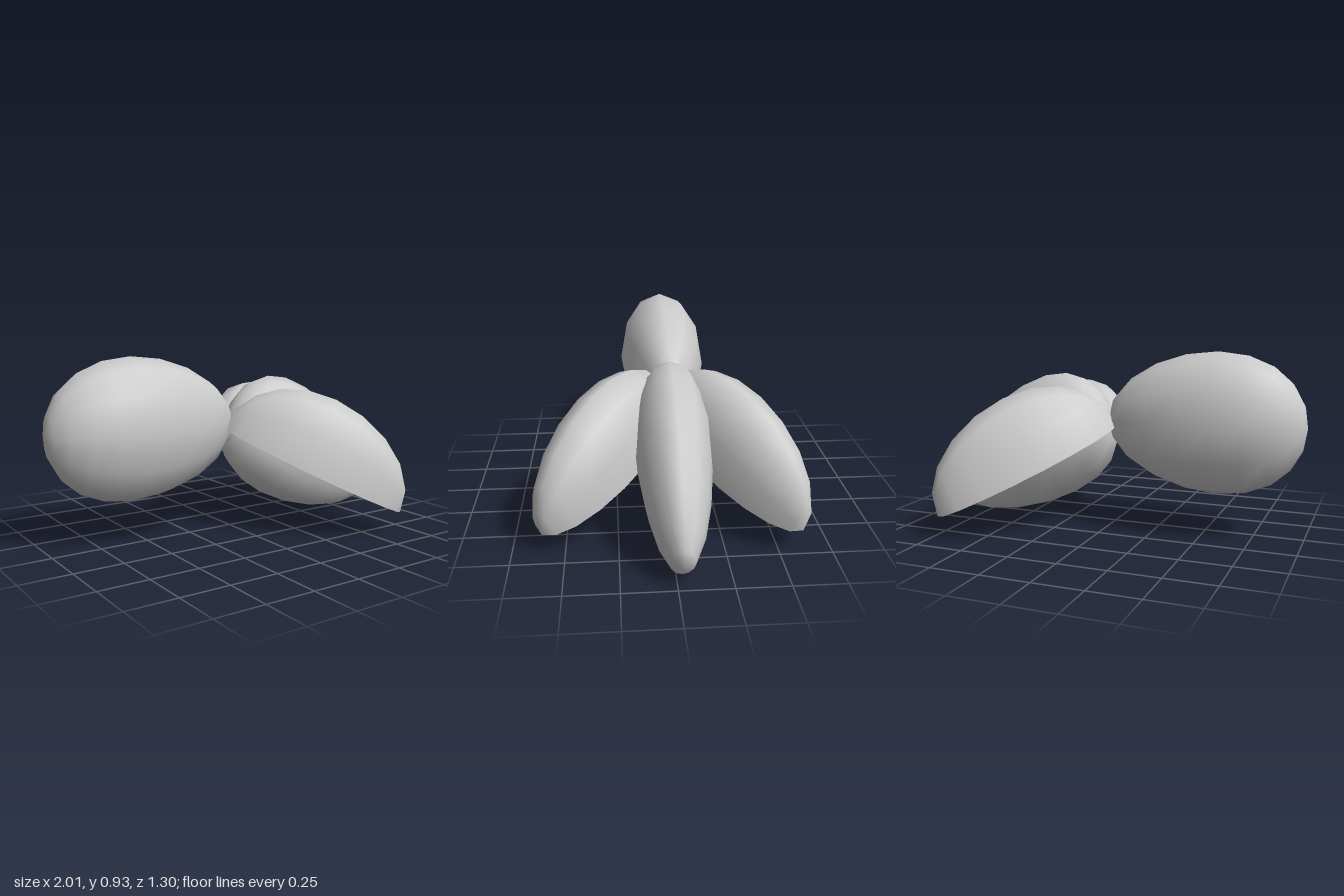
import * as THREE from 'three';
import { mergeVertices } from 'three/addons/utils/BufferGeometryUtils.js';

const material = new THREE.MeshStandardMaterial({ color: 0xcccccc });

// Scale a unit shape (y = long axis) into an egg whose widest ring is pushed by skew.
function toEgg(geometry, width, length, height, skew) {
  geometry.deleteAttribute('normal');
  geometry.deleteAttribute('uv');
  const g = mergeVertices(geometry);
  const p = g.attributes.position;
  for (let i = 0; i < p.count; i++) {
    const y = p.getY(i);
    p.setXYZ(i, p.getX(i) * width, (y + skew * (1 - y * y)) * length, p.getZ(i) * height);
  }
  g.computeVertexNormals();
  return g;
}

// One lobe running from its base to its tip; a half lobe is cut flat underneath.
function lobe({ name, base, tip, width, height, skew, roll = 0, half = false }) {
  const a = new THREE.Vector3(...base);
  const b = new THREE.Vector3(...tip);
  const axis = b.clone().sub(a);
  const length = axis.length() / 2;
  axis.normalize();
  const up = new THREE.Vector3(0, 1, 0).projectOnPlane(axis).normalize().applyAxisAngle(axis, roll);
  const side = axis.clone().cross(up);

  const group = new THREE.Group();
  group.name = name;
  const shell = new THREE.SphereGeometry(1, half ? 6 : 12, 10, 0, half ? Math.PI : Math.PI * 2);
  const body = new THREE.Mesh(toEgg(shell, width, length, height, skew), material);
  body.name = name + 'Body';
  group.add(body);
  if (half) {
    const disc = new THREE.CircleGeometry(1, 20).rotateY(Math.PI);
    const cap = new THREE.Mesh(toEgg(disc, width, length, height, skew), material);
    cap.name = name + 'FlatUnderside';
    group.add(cap);
  }
  group.quaternion.setFromRotationMatrix(new THREE.Matrix4().makeBasis(side, axis, up));
  group.position.copy(a).add(b).multiplyScalar(0.5);
  return group;
}

export function createModel() {
  const model = new THREE.Group();
  model.name = 'lobedCluster';
  model.add(
    // Large level lobe on the right
    lobe({ name: 'largeLobe', base: [0.02, 0.55, -0.035], tip: [-1, 0.55, -0.035],
      width: 0.237, height: 0.36, skew: 0.13 }),
    // Drooping lobe in the middle of the other side
    lobe({ name: 'middleLobe', base: [0.03, 0.61, -0.025], tip: [0.995, 0.075, -0.025],
      width: 0.187, height: 0.325, skew: -0.27 }),
    // Two flat-bottomed lobes spreading to front and back
    lobe({ name: 'frontLobe', base: [-0.03, 0.52, -0.01], tip: [0.67, 0.09, 0.605],
      width: 0.21, height: 0.385, skew: -0.08, roll: -0.08, half: true }),
    lobe({ name: 'backLobe', base: [-0.02, 0.52, -0.04], tip: [0.72, 0.09, -0.61],
      width: 0.21, height: 0.385, skew: -0.08, roll: 0.08, half: true })
  );
  return model;
}
